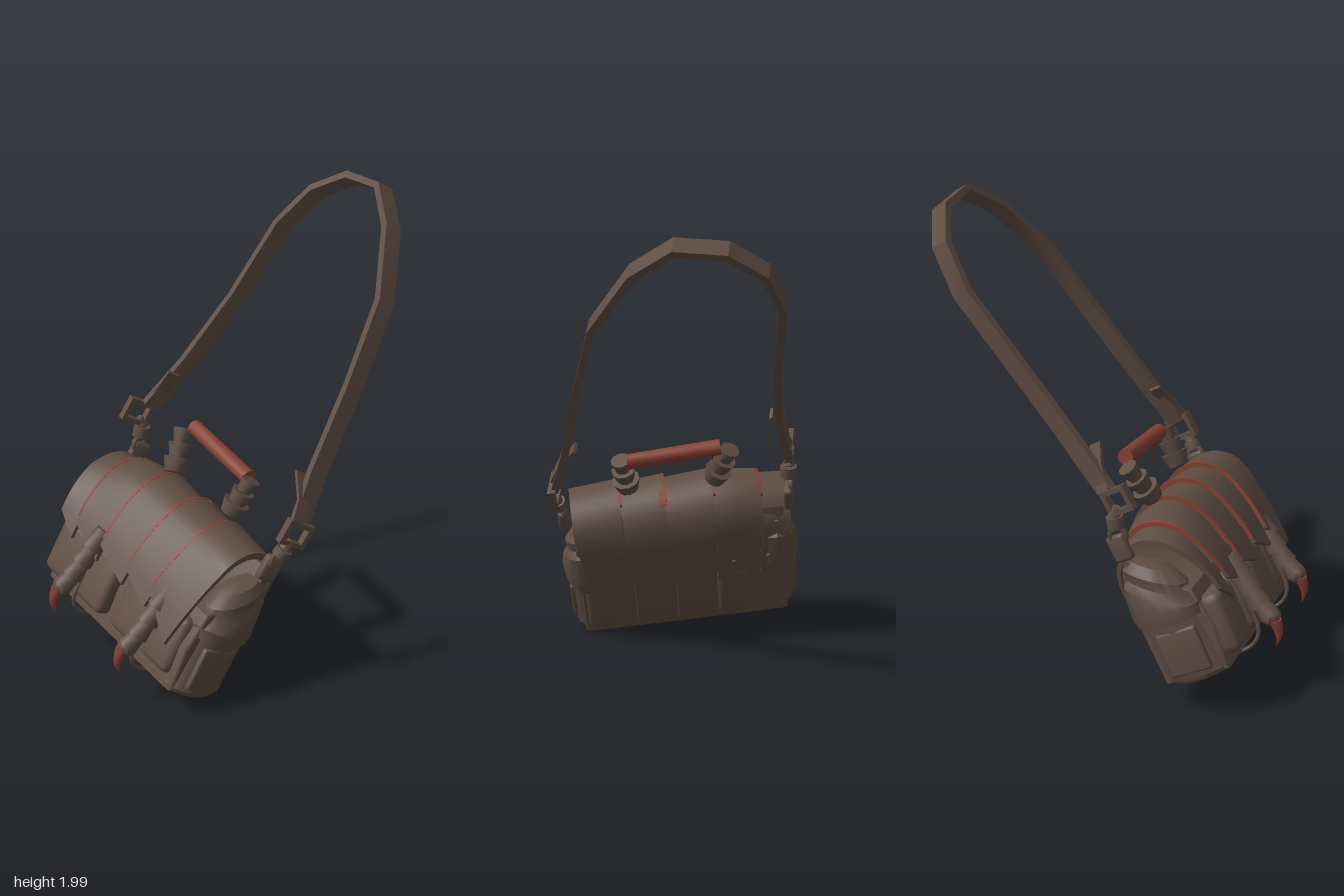
import * as THREE from 'three';
import { toCreasedNormals } from 'three/addons/utils/BufferGeometryUtils.js';
import { RoundedBoxGeometry } from 'three/addons/geometries/RoundedBoxGeometry.js';

const V = (x, y, z) => new THREE.Vector3(x, y, z);

export function createModel() {
  const leather = new THREE.MeshStandardMaterial({ color: 0x5f4d42 });
  leather.name = 'brown leather';
  const red = new THREE.MeshStandardMaterial({ color: 0x854033 });
  red.name = 'dull red';

  const model = new THREE.Group();
  model.name = 'satchel';
  // The bag leans and turns: local x = towards back panel, y = up, z = along its length
  const bag = new THREE.Group();
  bag.name = 'bag';
  const up = V(0.47, 0.88, 0).normalize(), along = V(0.2, -0.11, 1).normalize();
  bag.quaternion.setFromRotationMatrix(
    new THREE.Matrix4().makeBasis(V().crossVectors(up, along).normalize(), up, along));
  bag.position.set(-0.5, 0.13, 0);
  model.add(bag);

  const add = (parent, name, geo, mat = leather, crease = 0.6) => {
    const mesh = new THREE.Mesh(toCreasedNormals(geo, crease), mat);
    mesh.name = name;
    parent.add(mesh);
    return mesh;
  };
  const bend = (geo, rule) => {
    const p = geo.attributes.position, v = V();
    for (let i = 0; i < p.count; i++) {
      rule(v.fromBufferAttribute(p, i));
      p.setXYZ(i, v.x, v.y, v.z);
    }
    return geo;
  };
  const shapeOf = pts => new THREE.Shape(pts.map(p => new THREE.Vector2(p[0], p[1])));
  const rod = (parent, name, a, b, r0, r1, mat = leather, sides = 10) => {
    const d = b.clone().sub(a);
    const mesh = add(parent, name, new THREE.CylinderGeometry(r1, r0, d.length(), sides), mat, 0.8);
    mesh.position.copy(a).addScaledVector(d, 0.5);
    mesh.quaternion.setFromUnitVectors(V(0, 1, 0), d.normalize());
  };
  const block = (name, w, h, d, x, y, z, r = 0.03) =>
    add(bag, name, new RoundedBoxGeometry(w, h, d, 2, r)).position.set(x, y, z);

  // Main body, its top sloping down to the front and leaving a gap under the flap
  const body = new THREE.ExtrudeGeometry(shapeOf([
    [-0.14, 0.01], [0.14, 0.01], [0.145, 0.3], [0.13, 0.52], [0.1, 0.6],
    [0.04, 0.51], [-0.04, 0.43], [-0.13, 0.37], [-0.16, 0.2]]),
  { depth: 0.9, bevelThickness: 0.02, bevelSize: 0.01, bevelSegments: 2, steps: 4 });
  add(bag, 'body', body.translate(0, 0, -0.45));

  // Round pockets with overhanging lids on both ends
  for (const s of [-1, 1]) {
    const pts = [[0, 0.03], [0.12, 0.03], [0.13, 0.0], [0.15, 0.02], [0.15, 0.28], [0.175, 0.27],
      [0.185, 0.32], [0.17, 0.38], [0.135, 0.42], [0.14, 0.47], [0.09, 0.52], [0, 0.53]];
    const geo = bend(new THREE.LatheGeometry(pts.map(p => new THREE.Vector2(...p)), 16), v => {
      v.z *= 0.6;
      if (v.y > 0.25 && v.x < 0) v.x *= 0.82;
      if (v.y > 0.35) v.y += v.x * 0.6;
    });
    add(bag, 'endPocket', geo).position.set(-0.005, 0, s * 0.43);
    block('endPocketPatch', 0.19, 0.2, 0.03, -0.01, 0.14, s * 0.505, 0.012);
  }

  // Front and back pockets
  for (const [x, z] of [[-0.18, -0.36], [-0.175, -0.13], [-0.155, 0.12], [-0.14, 0.33]])
    block('frontPocket', 0.1, 0.27, 0.2, x, 0.19, z, 0.035);
  for (const z of [-0.22, 0.38]) block('backPocket', 0.07, 0.29, 0.15, 0.135, 0.17, z, 0.033);
  for (const z of [-0.05, 0.14]) block('backPanel', 0.03, 0.32, 0.18, 0.145, 0.18, z, 0.012);

  // Thin loops hanging below the front
  for (const z of [-0.2, 0.25]) {
    const loop = new THREE.CatmullRomCurve3([V(-0.22, 0.2, z), V(-0.22, 0.04, z), V(-0.16, -0.02, z),
      V(0, -0.025, z), V(0.13, 0.01, z)]);
    add(bag, 'underStrap', new THREE.TubeGeometry(loop, 16, 0.009, 6));
  }

  // Flap of five overlapping plates with red edges between them, narrowing at the far end
  const profile = new THREE.SplineCurve([[0.18, 0.34], [0.172, 0.5], [0.13, 0.62], [0.05, 0.685],
    [-0.05, 0.695], [-0.14, 0.645], [-0.2, 0.54], [-0.235, 0.43], [-0.25, 0.34]]
    .map(p => new THREE.Vector2(...p)));
  const cx = -0.02, cy = 0.32;
  const arch = (z0, z1, from, to, inner, grow, drop = 0) => {
    const outer = [];
    for (let i = 0; i <= 24; i++) {
      const p = profile.getPoint(from + (to - from) * i / 24);
      outer.push([p.x, p.y]);
    }
    const inside = outer.map(([x, y]) => [cx + (x - cx) * inner, cy + (y - cy) * inner]).reverse();
    const geo = new THREE.ExtrudeGeometry(shapeOf([...outer, ...inside]),
      { depth: z1 - z0, bevelEnabled: false, steps: 2 }).translate(0, 0, z0);
    return bend(geo, v => {
      const t = (v.z - z0) / (z1 - z0), s = grow(t), low = Math.max(0, 0.6 - v.y);
      const far = Math.min(0, v.z + 0.25);
      v.x = cx + (v.x - cx) * s;
      v.y = cy + (v.y - cy) * s - low * t * drop + far * 0.3 * Math.min(1, Math.max(0, v.y - 0.4) * 4);
      if (v.x > 0) v.x *= 1 + 0.5 * Math.min(0, v.z + 0.15);
      v.z *= 1 - (v.z > 0 ? 0.5 : 0.3) * low;
    });
  };
  const seams = [-0.5, -0.375, -0.165, 0.05, 0.25, 0.47];
  for (let i = 0; i < 5; i++) {
    add(bag, 'flapPlate', arch(seams[i], seams[i + 1], 0, 1, 0.92, t => 1.06 - 0.06 * t, i === 4 ? 0.55 : 0.3));
    if (i < 4) {
      const z = seams[i + 1];
      add(bag, 'flapEdge', arch(z - 0.009, z + 0.003, 0.36, 0.95, 0.95, () => 1.062), red);
    }
  }
  add(bag, 'flapPatch', arch(0.045, 0.075, 0.33, 0.42, 0.99, () => 1.063), red);
  for (const z of [-0.39, -0.23, 0.08, 0.24])
    add(bag, 'rivet', new THREE.SphereGeometry(0.013, 8, 6)).position.set(0.172 + Math.min(0, z + 0.2) * 0.08, 0.37, z);

  // Segmented fingers with small curved red claws
  for (const [x, y, z] of [[-0.55, 0.6, -0.14], [-0.44, 0.54, 0.32]]) {
    const finger = new THREE.Group();
    finger.name = 'clawFinger';
    model.add(finger);
    const path = [V(x, y, z), V(x - 0.065, y - 0.075, z), V(x - 0.115, y - 0.135, z),
      V(x - 0.165, y - 0.19, z), V(x - 0.21, y - 0.23, z)];
    for (let i = 0; i < 4; i++) rod(finger, 'fingerSegment', path[i], path[i + 1], 0.038, 0.052 - i * 0.002);
    add(finger, 'knuckle', new THREE.SphereGeometry(0.045, 10, 8)).position.copy(path[4]);
    const claw = new THREE.ConeGeometry(0.033, 0.135, 10, 5).translate(0, 0.0675, 0).rotateZ(Math.PI);
    bend(claw, v => { v.x += -0.028 * Math.sin(-v.y / 0.135 * 2.6); });
    add(finger, 'claw', claw, red, 0.8).position.set(x - 0.228, y - 0.235, z - 0.005);
  }

  // Carrying handle on two stacked horn-like mounts
  rod(model, 'handle', V(-0.085, 0.97, -0.21), V(-0.015, 0.905, 0.19), 0.035, 0.035, red, 12);
  for (const [a, b] of [[V(-0.11, 0.76, 0.2), V(-0.02, 0.91, 0.22)],
    [V(-0.2, 0.79, -0.17), V(-0.12, 0.95, -0.25)]]) {
    for (let i = 0; i < 3; i++) {
      const p = a.clone().lerp(b, i / 3), q = a.clone().lerp(b, (i + 1) / 3);
      rod(model, 'handleMount', p, q, 0.045 - i * 0.007, 0.062 - i * 0.009);
    }
  }

  // Flat shoulder strap, a rectangle swept along a path
  const ribbon = (name, pts, w, t) => {
    const wide = V(0.84, -0.54, 0).normalize(), pos = [], idx = [];
    pts.forEach((p, i) => {
      const tan = V().subVectors(pts[Math.min(i + 1, pts.length - 1)], pts[Math.max(i - 1, 0)]);
      const n = V().crossVectors(tan, wide).normalize();
      for (const [a, b] of [[-1, -1], [1, -1], [1, 1], [-1, 1]])
        pos.push(...p.clone().addScaledVector(wide, a * w / 2).addScaledVector(n, b * t / 2).toArray());
    });
    const last = (pts.length - 1) * 4;
    for (let i = 0; i < last; i += 4) {
      for (let k = 0; k < 4; k++) {
        const a = i + k, b = i + (k + 1) % 4;
        idx.push(a, b, b + 4, a, b + 4, a + 4);
      }
    }
    idx.push(0, 2, 1, 0, 3, 2, last, last + 1, last + 2, last, last + 2, last + 3);
    const geo = new THREE.BufferGeometry();
    geo.setAttribute('position', new THREE.Float32BufferAttribute(pos, 3));
    geo.setIndex(idx);
    add(model, name, geo.toNonIndexed(), leather, 0.5);
  };
  ribbon('shoulderStrap', [V(0.07, 0.81, 0.49), V(0.19, 1.0, 0.42), V(0.4, 1.31, 0.33), V(0.595, 1.62, 0.23),
    V(0.72, 1.86, 0.05), V(0.775, 1.97, -0.12), V(0.74, 1.955, -0.32), V(0.64, 1.86, -0.46),
    V(0.5, 1.7, -0.52), V(0.26, 1.41, -0.485), V(0.02, 1.15, -0.475), V(-0.17, 0.96, -0.49)], 0.085, 0.032);
  ribbon('strapTail', [V(0.05, 0.83, 0.51), V(0.1, 0.91, 0.47), V(0.13, 1.0, 0.39)], 0.06, 0.015);
  ribbon('strapTail', [V(-0.17, 0.96, -0.51), V(-0.11, 1.05, -0.47), V(-0.08, 1.13, -0.43)], 0.06, 0.015);

  // Square buckles, swivels and lugs joining the strap to the bag ends
  const clip = (ring, swivel, lug, angle) => {
    const g = new THREE.Group();
    g.name = 'buckle';
    g.position.copy(ring);
    g.rotation.z = angle;
    for (const s of [-1, 1]) {
      add(g, 'buckleBar', new THREE.BoxGeometry(0.13, 0.022, 0.035)).position.y = s * 0.045;
      add(g, 'buckleSide', new THREE.BoxGeometry(0.022, 0.11, 0.035)).position.x = s * 0.055;
    }
    model.add(g);
    rod(model, 'swivelPin', ring.clone().lerp(swivel, 0.4), swivel, 0.016, 0.028);
    rod(model, 'swivelCollar', swivel, swivel.clone().lerp(lug, 0.35), 0.038, 0.038);
    const hook = add(model, 'hookRing', new THREE.TorusGeometry(0.035, 0.011, 6, 10));
    hook.position.copy(swivel).lerp(lug, 0.6);
    hook.rotation.y = 0.4;
    const tab = add(model, 'lug', new RoundedBoxGeometry(0.09, 0.12, 0.04, 2, 0.015));
    tab.position.copy(lug);
    tab.rotation.z = angle;
  };
  clip(V(0.05, 0.78, 0.5), V(0.0, 0.72, 0.5), V(-0.06, 0.63, 0.48), -0.55);
  clip(V(-0.23, 0.94, -0.5), V(-0.21, 0.86, -0.5), V(-0.24, 0.72, -0.5), -0.55);

  return model;
}
